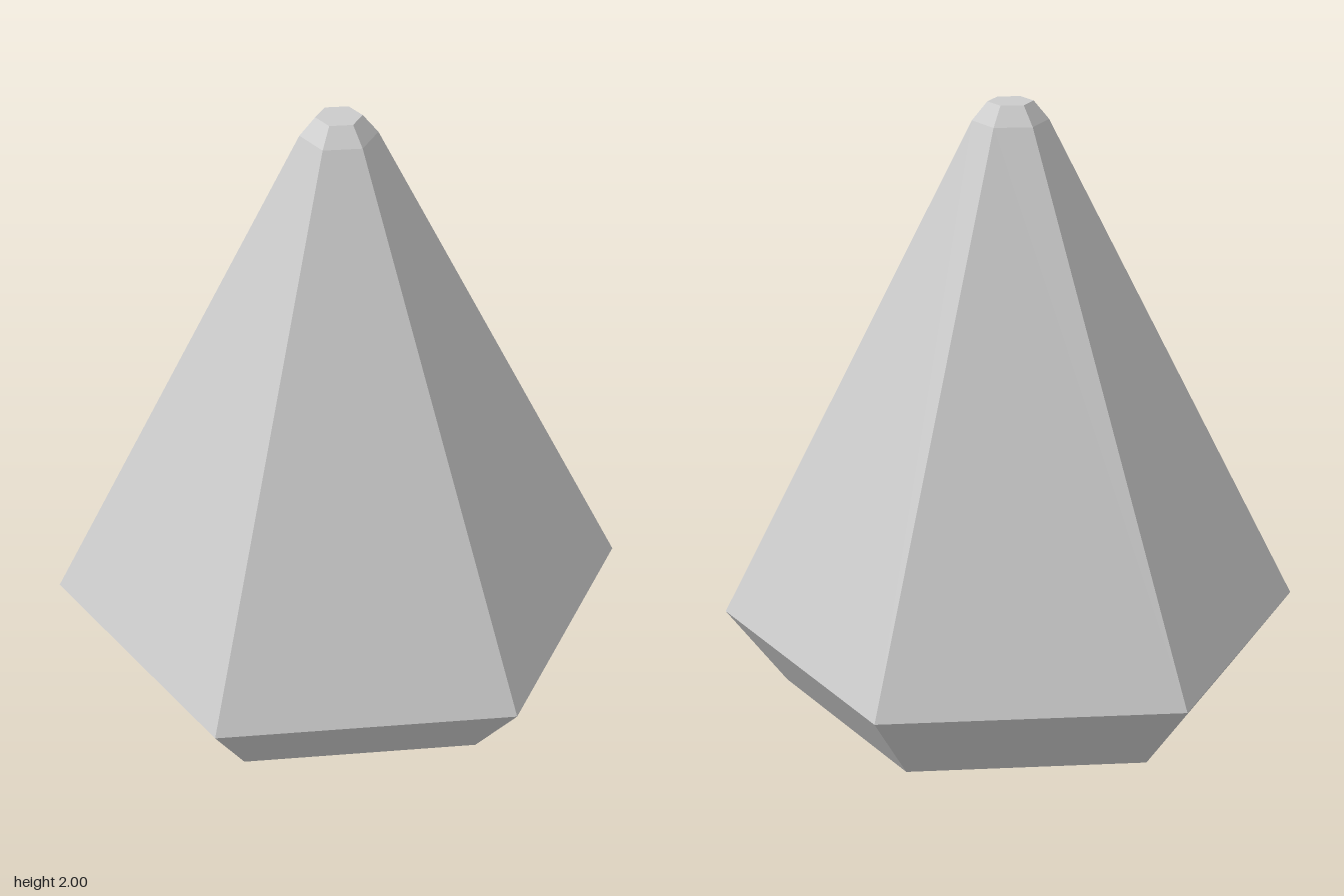
import * as THREE from 'three';

export function createModel() {
  const group = new THREE.Group();
  group.name = 'hexagonalCone';

  // Half profile: flat base, flared foot, long taper, bevelled tip, flat top
  const profile = [
    [0, 0], [0.765, 0], [0.963, 0.265], [0.122, 1.94], [0.073, 2], [0, 2],
  ].map(([r, y]) => new THREE.Vector2(r, y));

  // Six sides, with corners on the x axis
  const geometry = new THREE.LatheGeometry(profile, 6, Math.PI / 2).toNonIndexed();
  geometry.computeVertexNormals();

  const body = new THREE.Mesh(
    geometry,
    new THREE.MeshStandardMaterial({ color: 0xcccccc, flatShading: true }),
  );
  body.name = 'body';
  group.add(body);
  return group;
}
